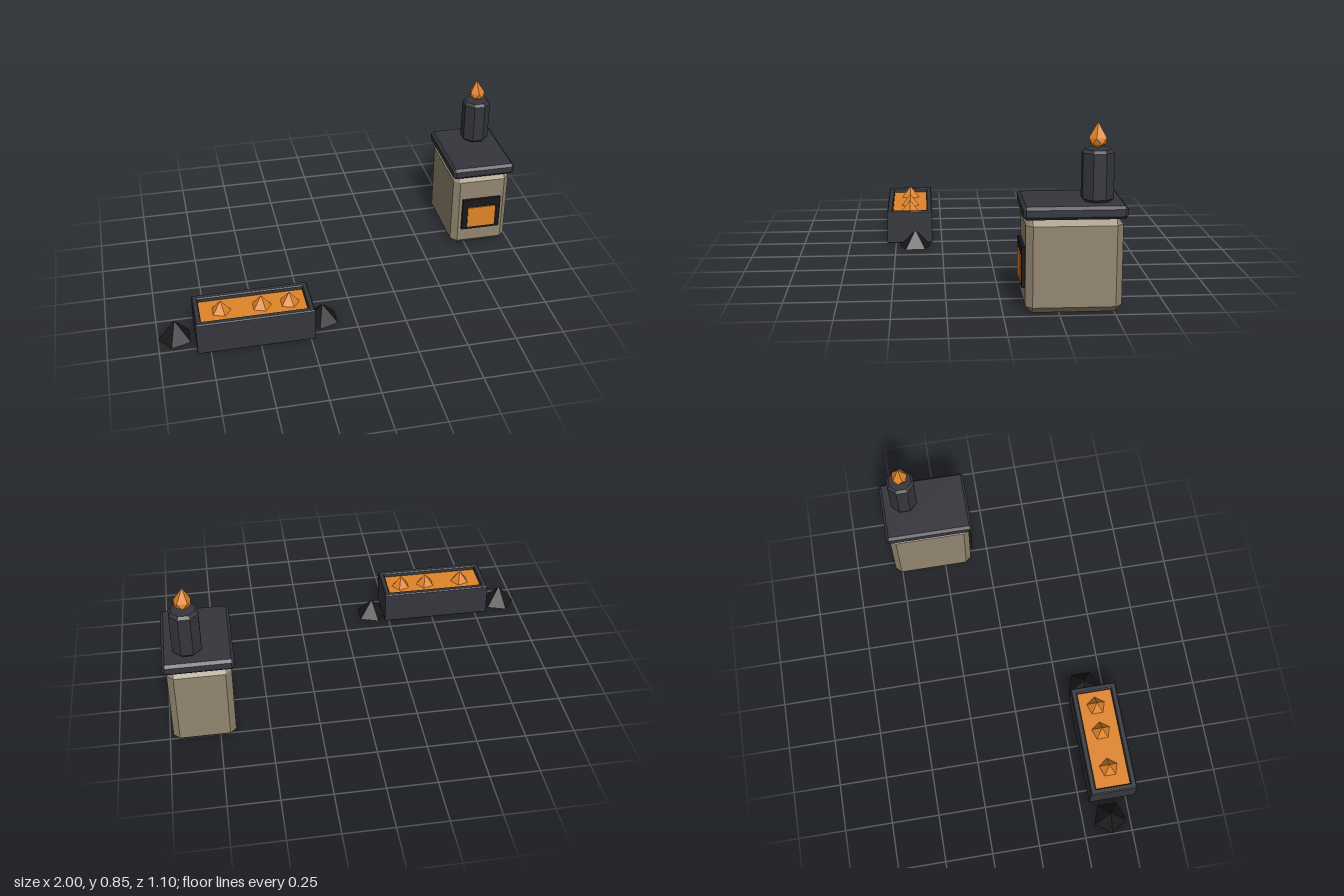
import * as THREE from 'three';
import { ConvexGeometry } from 'three/addons/geometries/ConvexGeometry.js';

const mat = (color) => new THREE.MeshStandardMaterial({ color, flatShading: true });

export function createModel() {
  const model = new THREE.Group();
  const stone = mat(0x92866f), iron = mat(0x35363c), black = mat(0x18181a), glow = mat(0xe08428);

  const add = (parent, name, geometry, material, x = 0, y = 0, z = 0) => {
    const mesh = new THREE.Mesh(geometry, material);
    mesh.name = name;
    mesh.position.set(x, y, z);
    parent.add(mesh);
    return mesh;
  };
  const group = (name) => {
    const g = new THREE.Group();
    g.name = name;
    model.add(g);
    return g;
  };

  // Box with every edge cut at 45 degrees
  const chamferBox = (w, h, d, c) => {
    const points = [];
    for (const sx of [-1, 1]) for (const sy of [-1, 1]) for (const sz of [-1, 1]) {
      const x = sx * w / 2, y = sy * h / 2, z = sz * d / 2;
      points.push(
        new THREE.Vector3(x, y - sy * c, z - sz * c),
        new THREE.Vector3(x - sx * c, y, z - sz * c),
        new THREE.Vector3(x - sx * c, y - sy * c, z));
    }
    return new ConvexGeometry(points);
  };

  // Furnace: body, lid, fire window
  const furnace = group('furnace');
  add(furnace, 'furnaceBody', chamferBox(0.31, 0.435, 0.435, 0.031), stone, 0.826, 0.2175, -0.317);
  add(furnace, 'furnaceLid', chamferBox(0.342, 0.06, 0.464, 0.014), iron, 0.827, 0.465, -0.317);
  add(furnace, 'windowFrame', new THREE.BoxGeometry(0.214, 0.187, 0.03), black, 0.826, 0.204, -0.1);
  add(furnace, 'windowGlow', new THREE.BoxGeometry(0.155, 0.122, 0.03), glow, 0.826, 0.188, -0.095);

  // Octagonal chimney with cut rims
  const r = 0.07 / Math.cos(Math.PI / 8), rim = r - 0.014;
  const profile = [[0, 0], [rim, 0], [r, 0.014], [r, 0.221], [rim, 0.235], [0, 0.235]]
    .map(([x, y]) => new THREE.Vector2(x, y));
  add(furnace, 'chimney', new THREE.LatheGeometry(profile, 8, Math.PI / 8), iron, 0.873, 0.495, -0.426);

  // Faceted flame: two twisted five-sided rings between a tip and a base
  const flame = [new THREE.Vector3(-0.006, 0.12, 0), new THREE.Vector3(0, 0, 0)];
  for (let i = 0; i < 5; i++) {
    const a = (i / 5) * Math.PI * 2, b = a + Math.PI / 5;
    flame.push(
      new THREE.Vector3(Math.sin(a) * 0.042, 0.05, Math.cos(a) * 0.042),
      new THREE.Vector3(Math.sin(b) * 0.039, 0.022, Math.cos(b) * 0.039));
  }
  add(furnace, 'flame', new ConvexGeometry(flame), glow, 0.873, 0.73, -0.426);

  // Open trough
  const trough = group('emberTrough');
  trough.position.set(-0.5215, 0, 0.425);
  const rect = (S, w, d) => new S([[-1, -1], [1, -1], [1, 1], [-1, 1]]
    .map(([x, y]) => new THREE.Vector2(x * w / 2, y * d / 2)));
  const outline = rect(THREE.Shape, 0.587, 0.244);
  outline.holes.push(rect(THREE.Path, 0.529, 0.184));
  const bevel = 0.005;
  const walls = new THREE.ExtrudeGeometry(outline, {
    depth: 0.178 - 2 * bevel, bevelThickness: bevel, bevelSize: bevel, bevelOffset: -bevel, bevelSegments: 1,
  });
  walls.rotateX(-Math.PI / 2);
  add(trough, 'troughWalls', walls, iron, 0, bevel, 0);
  add(trough, 'troughFloor', new THREE.BoxGeometry(0.55, 0.03, 0.207), iron, 0, 0.015, 0);
  add(trough, 'emberBed', new THREE.BoxGeometry(0.54, 0.13, 0.195), glow, 0, 0.09, 0);

  // Embers rising from the bed
  [-0.68, -0.478, -0.337].forEach((x) => {
    const ember = add(trough, 'ember', new THREE.ConeGeometry(0.055, 0.067, 5), glow, x + 0.5215, 0.1835, -0.002);
    ember.rotation.y = Math.PI / 2;
  });

  // Coal lumps at both ends
  for (const [x, h] of [[-0.911, 0.107], [-0.165, 0.092]]) {
    const lump = add(model, 'coalLump', new THREE.ConeGeometry(0.088, h, 5), black, x, h / 2, 0.394);
    lump.rotation.y = -Math.PI / 2;
  }
  return model;
}
